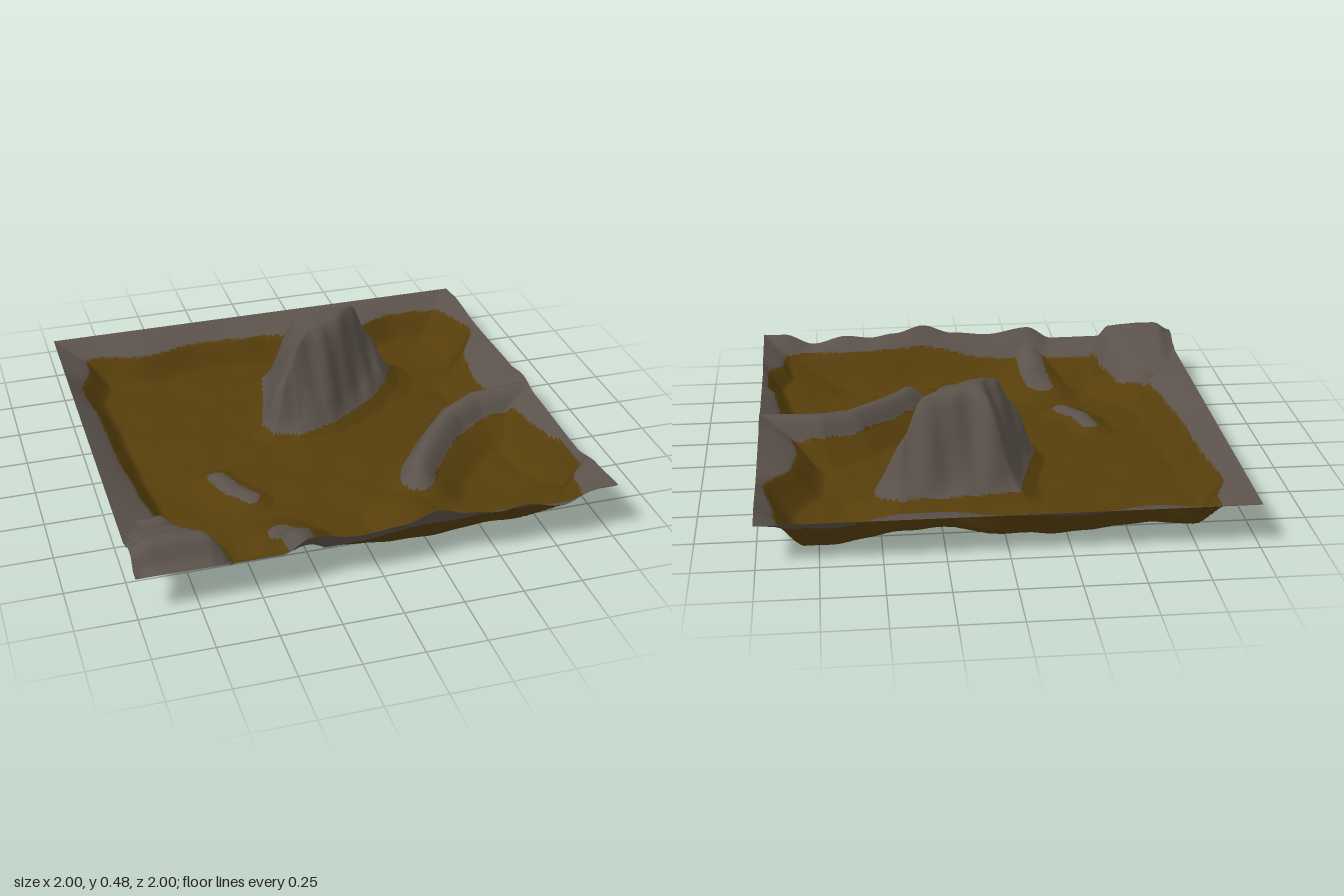
import * as THREE from 'three';

const N = 170; // grid cells per side

const clamp01 = (t) => Math.min(1, Math.max(0, t));
const smooth = (t) => { t = clamp01(t); return t * t * (3 - 2 * t); };

// Piecewise interpolation through [position, value] pairs
function curve(table, t, ease = (v) => v) {
  if (t <= table[0][0]) return table[0][1];
  for (let i = 1; i < table.length; i++) {
    const [a, va] = table[i - 1], [b, vb] = table[i];
    if (t <= b) return va + (vb - va) * ease((t - a) / (b - a));
  }
  return table[table.length - 1][1];
}

// Distance to a path, with the fraction travelled along it
function pathDistance(pts, x, z) {
  let best = Infinity, along = 0;
  for (let i = 0; i + 1 < pts.length; i++) {
    const [ax, az] = pts[i], [bx, bz] = pts[i + 1];
    const dx = bx - ax, dz = bz - az;
    const t = clamp01(((x - ax) * dx + (z - az) * dz) / (dx * dx + dz * dz));
    const d = Math.hypot(x - ax - t * dx, z - az - t * dz);
    if (d < best) { best = d; along = (i + t) / (pts.length - 1); }
  }
  return [best, along];
}

// Distance to an outline, positive inside
function insideDistance(pts, x, z) {
  let inside = false;
  for (let i = 0, j = pts.length - 1; i < pts.length; j = i++) {
    const [ax, az] = pts[i], [bx, bz] = pts[j];
    if ((az > z) !== (bz > z) && x < ((bx - ax) * (z - az)) / (bz - az) + ax) inside = !inside;
  }
  const d = pathDistance([...pts, pts[0]], x, z)[0];
  return inside ? d : -d;
}

const wobble = (x, z) =>
  0.5 * Math.sin(9 * x + 3 * z + 1) * Math.cos(8 * z - 2 * x) +
  0.3 * Math.sin(17 * z + 5 * x) * Math.sin(15 * x - 4 * z + 2) +
  0.2 * Math.sin(27 * x + 11 * z) * Math.cos(25 * z - 9 * x);

// Falls from 1 to 0, starting at a slope rather than flat
const skirt = (t) => (1 - smooth(0.2 + 0.8 * t)) / (1 - smooth(0.2));

// Raised border: outer edge height, height where the rock ends, then down to the floor
function rim(d, t, fall, insets, edges, mids) {
  const w = curve(insets, t, smooth), top = curve(edges, t, smooth), mid = curve(mids, t, smooth);
  return {
    h: d < w ? mid + (top - mid) * Math.pow(1 - d / w, 0.9) : mid * skirt((d - w) / fall),
    rock: d < w,
  };
}

// Rounded ridge along a path; its rock ends at the given share of the crest height
function ridge(pts, half, startTop, endTop, share, fall) {
  return (x, z) => {
    const [d, along] = pathDistance(pts, x, z);
    const top = startTop + (endTop - startTop) * along, edge = top * share;
    return {
      h: d < half ? top - (top - edge) * (d / half) ** 2 : edge * skirt((d - half) / fall),
      rock: d < half + 0.008 * wobble(2 * x, 2 * z),
    };
  };
}

// Soft round swelling of the sand
const swell = (cx, cz, radius, height) => (x, z) =>
  ({ h: height * (1 - smooth(Math.hypot(x - cx, z - cz) / radius)), rock: false });

const mesaOutline = [[-0.09, -0.56], [0.12, -0.59], [0.42, -0.61], [0.51, -0.56], [0.52, -0.49], [0.47, -0.37],
  [0.36, -0.24], [0.12, -0.06], [-0.05, -0.01], [-0.17, -0.05], [-0.2, -0.14], [-0.14, -0.34]];
const mesaProfile = [[-0.12, 0], [-0.05, 0.03], [0, 0.08], [0.04, 0.155], [0.08, 0.25], [0.12, 0.365], [0.15, 0.44], [0.175, 0.475], [0.21, 0.486]];
const outcropOutline = [[-1.3, 0.53], [-0.8, 0.53], [-0.7, 0.6], [-0.66, 0.74], [-0.6, 0.9], [-0.6, 1.3], [-1.3, 1.3]];
const outcropProfile = [[-0.1, 0], [-0.04, 0.06], [0, 0.132], [0.04, 0.22], [0.09, 0.275], [0.2, 0.287]];
const outcropFall = [[0.53, 0.8], [0.62, 0.62], [0.7, 0.7], [0.79, 0.85], [0.87, 1], [0.91, 1], [0.97, 0.72], [1, 0.67]];

// Each landform gives its height at x, z and whether it is bare rock there
const landforms = {
  mesa: (x, z) => {
    const d = insideDistance(mesaOutline, x, z);
    const groove = 0.012 * Math.sin(24 * x + 10 * z) + 0.006 * Math.sin(47 * x - 13 * z);
    return { h: curve(mesaProfile, d + groove * clamp01(d / 0.05)), rock: d > 0 };
  },
  cornerOutcrop: (x, z) => {
    const d = insideDistance(outcropOutline, x, z) + 0.02 * wobble(2 * x, 2 * z);
    return {
      h: curve(outcropProfile, d) * curve(outcropFall, z, smooth) * (1 - 0.14 * smooth((-0.92 - x) / 0.08)),
      rock: d > 0,
    };
  },
  curvedRidge: ridge([[0.32, 0.5], [0.36, 0.41], [0.47, 0.27], [0.6, 0.13], [0.74, 0.06], [1.05, 0.05]], 0.075, 0.15, 0.225, 0.55, 0.14),
  smallOutcrop: ridge([[-0.49, 0.19], [-0.46, 0.29], [-0.39, 0.38]], 0.042, 0.065, 0.065, 0.75, 0.12),
  frontSpur: ridge([[-0.33, 0.68], [-0.3, 0.76], [-0.3, 1.05]], 0.065, 0.065, 0.2, 0.8, 0.15),
  backRim: (x, z) => rim(1 + z, x, 0.09,
    [[-1, 0.13], [-0.8, 0.12], [-0.6, 0.16], [-0.3, 0.1], [0, 0.12], [0.25, 0.18], [0.4, 0.18], [0.7, 0.08], [1, 0.1]],
    [[-1, 0.192], [1, 0.192]], [[-1, 0.132], [1, 0.132]]),
  leftRim: (x, z) => rim(1 - x, z, 0.13,
    [[-1, 0.12], [-0.8, 0.07], [-0.6, 0.03], [-0.36, 0.14], [-0.18, 0.16], [0.05, 0.12], [0.25, 0.08], [0.42, 0.06],
      [0.52, 0.02], [0.68, 0.02], [0.78, 0.09], [1, 0.12]],
    [[-1, 0.192], [-0.85, 0.205], [-0.6, 0.192], [-0.15, 0.205], [0, 0.23], [0.15, 0.205], [0.6, 0.195], [0.8, 0.235], [1, 0.255]],
    [[-1, 0.132], [-0.6, 0.17], [-0.2, 0.13], [0.2, 0.15], [0.6, 0.18], [1, 0.165]]),
  rightRim: (x, z) => rim(1 + x, z, 0.11,
    [[-1, 0.12], [-0.8, 0.13], [-0.6, 0.07], [-0.3, 0.1], [0, 0.11], [0.3, 0.14], [0.5, 0.17], [1, 0.2]],
    [[-1, 0.192], [1, 0.195]], [[-1, 0.13], [1, 0.12]]),
  frontRim: (x, z) => rim(1 - z, x, 0.17,
    [[-1, 0.1], [-0.5, 0.1], [-0.1, 0.09], [0.25, 0.05], [0.55, 0.07], [0.8, 0.06], [1, 0.12]],
    [[-1, 0.195], [-0.42, 0.19], [-0.3, 0.25], [-0.1, 0.22], [0.08, 0.235], [0.22, 0.277], [0.36, 0.24],
      [0.48, 0.222], [0.6, 0.235], [0.76, 0.2], [0.9, 0.252], [1, 0.252]],
    [[-1, 0.11], [-0.1, 0.125], [0.2, 0.18], [1, 0.17]]),
  lowShoulder: swell(0.22, 0.6, 0.24, 0.08),
  cornerSwell: swell(0.95, 0.95, 0.45, 0.17),
  middleSwell: swell(-0.05, 0, 0.9, 0.045),
};

// Highest landform at a point, blended into a gently rolling floor
function sample(x, z) {
  let top = 0, rock = null;
  for (const [name, form] of Object.entries(landforms)) {
    const f = form(x, z);
    top = Math.max(top, f.h);
    if (f.rock) rock ??= name;
  }
  const floor = 0.014 + 0.014 * wobble(x, z);
  return { y: top + floor * (1 - smooth(top / 0.14)), rock };
}

export function createModel() {
  const group = new THREE.Group();
  group.name = 'terrain';
  const sand = new THREE.MeshStandardMaterial({ color: 0x563e0b, side: THREE.DoubleSide });
  sand.name = 'ochre sand';
  const rock = new THREE.MeshStandardMaterial({ color: 0x5b524b, side: THREE.DoubleSide });
  rock.name = 'grey rock';

  // One height grid shared by all parts, so that normals run smoothly across them
  const land = new THREE.PlaneGeometry(2, 2, N, N).rotateX(-Math.PI / 2);
  const pos = land.attributes.position;
  let low = Infinity;
  for (let i = 0; i < pos.count; i++) {
    const { y } = sample(pos.getX(i), pos.getZ(i));
    pos.setY(i, y);
    low = Math.min(low, y);
  }
  land.translate(0, -low, 0);
  land.computeVertexNormals();

  // Sort triangles into the sandy floor and the rocky landforms
  const parts = {};
  const index = land.index.array;
  for (let i = 0; i < index.length; i += 3) {
    const tri = [index[i], index[i + 1], index[i + 2]];
    const mean = (get) => tri.reduce((s, v) => s + pos[get](v), 0) / 3;
    const key = sample(mean('getX'), mean('getZ')).rock ?? 'sandFloor';
    (parts[key] ??= []).push(...tri);
  }
  for (const [name, tris] of Object.entries(parts)) {
    const geometry = new THREE.BufferGeometry();
    geometry.setAttribute('position', land.attributes.position);
    geometry.setAttribute('normal', land.attributes.normal);
    geometry.setIndex(tris);
    const mesh = new THREE.Mesh(geometry, name === 'sandFloor' ? sand : rock);
    mesh.name = name;
    group.add(mesh);
  }
  return group;
}
